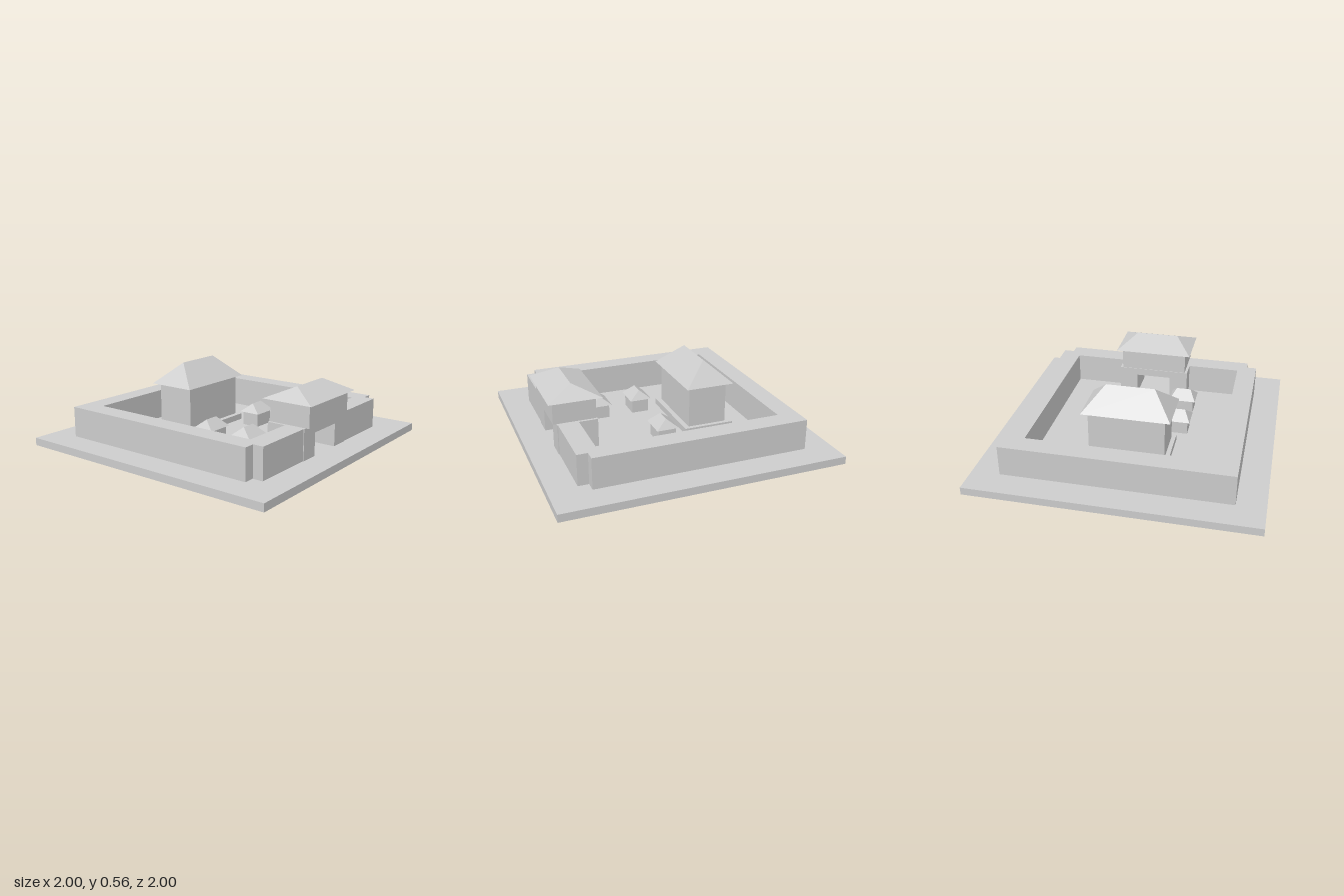
import * as THREE from 'three';

const stone = new THREE.MeshStandardMaterial({ color: 0xcccccc });
stone.name = 'pale grey stone';

const GROUND = 0.055, WALL_TOP = 0.275;

function mesh(name, geometry) {
  const m = new THREE.Mesh(geometry, stone);
  m.name = name;
  return m;
}

// Box given by its extents
function block(name, x0, x1, y0, y1, z0, z1) {
  const g = new THREE.BoxGeometry(x1 - x0, y1 - y0, z1 - z0);
  g.translate((x0 + x1) / 2, (y0 + y1) / 2, (z0 + z1) / 2);
  return mesh(name, g);
}

// Hipped roof: a box whose top is pulled in to a ridge along x
function hipRoof(name, cx, cz, halfX, halfZ, ridge, eaves, top) {
  const e = [[-halfX, eaves, halfZ], [halfX, eaves, halfZ], [halfX, eaves, -halfZ], [-halfX, eaves, -halfZ]];
  const l = [-ridge, top, 0], r = [ridge, top, 0];
  const tris = [
    e[0], e[1], r, e[0], r, l,
    e[2], e[3], l, e[2], l, r,
    e[1], e[2], r, e[3], e[0], l,
    e[0], e[3], e[2], e[0], e[2], e[1],
  ];
  const g = new THREE.BufferGeometry();
  g.setAttribute('position', new THREE.Float32BufferAttribute(tris.flat(), 3));
  g.translate(cx, 0, cz);
  g.computeVertexNormals();
  return mesh(name, g);
}

const outline = (pts) => new THREE.Shape(pts.map(([x, y]) => new THREE.Vector2(x, y)));

// Enclosing wall, stepped at the front corners and open at the gate
function courtyardWall() {
  const half = [[0.27, 0.655], [0.655, 0.655], [0.655, -0.655]];
  const outer = [[0.8, -0.8], [0.8, 0.725], [0.725, 0.725], [0.725, 0.8], [0.27, 0.8]];
  const mirror = (pts) => pts.map(([x, z]) => [-x, z]).reverse();
  const plan = [...half, ...mirror(half), ...mirror(outer), ...outer];
  const g = new THREE.ExtrudeGeometry(outline(plan.map(([x, z]) => [x, -z])),
    { depth: WALL_TOP - GROUND, bevelEnabled: false });
  g.rotateX(-Math.PI / 2);
  g.translate(0, GROUND, 0);
  return mesh('courtyardWall', g);
}

// Gate block with its square passage
function gatePassage() {
  const shape = outline([
    [-0.27, GROUND], [-0.132, GROUND], [-0.132, 0.22], [0.132, 0.22],
    [0.132, GROUND], [0.27, GROUND], [0.27, WALL_TOP], [-0.27, WALL_TOP],
  ]);
  const g = new THREE.ExtrudeGeometry(shape, { depth: 0.285, bevelEnabled: false });
  g.translate(0, 0, 0.52);
  return mesh('gatePassage', g);
}

export function createModel() {
  const model = new THREE.Group();
  model.name = 'walledPalace';

  model.add(block('basePlate', -1, 1, 0, GROUND, -1, 1), courtyardWall());

  // Gatehouse over the front wall
  const gate = new THREE.Group();
  gate.name = 'gatehouse';
  gate.add(
    gatePassage(),
    block('gateRoom', -0.25, 0.25, WALL_TOP, 0.435, 0.525, 0.83),
    hipRoof('gateRoof', 0, 0.675, 0.29, 0.188, 0.16, 0.435, 0.52),
  );

  // Main hall on its terrace
  const hall = new THREE.Group();
  hall.name = 'mainHall';
  hall.add(
    block('terrace', -0.3, 0.3, GROUND, 0.1, -0.49, -0.12),
    block('hallBody', -0.27, 0.27, 0.1, 0.404, -0.442, -0.158),
    hipRoof('hallRoof', 0, -0.303, 0.313, 0.178, 0.172, 0.404, 0.56),
  );
  model.add(gate, hall);

  // Small pavilions in the yard
  for (const [x, z] of [[-0.28, 0.045], [0.275, 0.045], [-0.272, 0.362]]) {
    const pavilion = new THREE.Group();
    pavilion.name = 'pavilion';
    pavilion.add(
      block('pavilionBody', x - 0.083, x + 0.083, GROUND, 0.157, z - 0.065, z + 0.065),
      hipRoof('pavilionRoof', x, z, 0.1, 0.082, 0.053, 0.157, 0.222),
    );
    model.add(pavilion);
  }
  return model;
}
